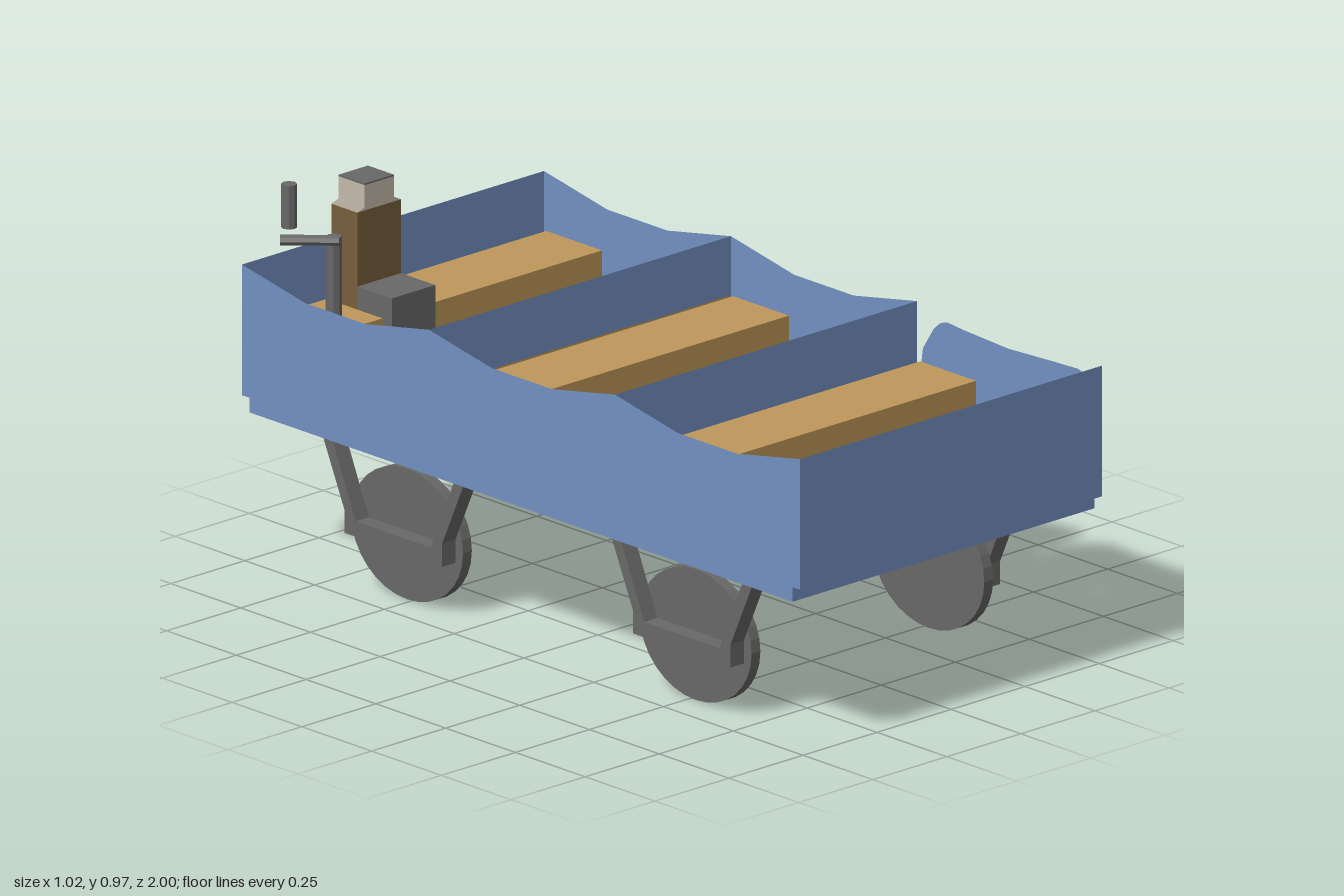
import * as THREE from 'three';

export function createModel() {
  const mat = (name, color, extra = {}) => {
    const m = new THREE.MeshStandardMaterial({ color, ...extra });
    m.name = name;
    return m;
  };
  const blue = mat('blue paint', 0x7390c2, { side: THREE.DoubleSide });
  const wood = mat('bench wood', 0xbf975a);
  const grey = mat('dark metal', 0x686868, { flatShading: true });
  const brown = mat('brown cloth', 0x785e3c);
  const beige = mat('beige', 0xc4baab);

  const root = new THREE.Group();
  root.name = 'carriage';
  const add = (name, geo, material, x = 0, y = 0, z = 0) => {
    const m = new THREE.Mesh(geo, material);
    m.name = name;
    m.position.set(x, y, z);
    root.add(m);
    return m;
  };
  // box given by its limits on each axis
  const box = (name, material, [x0, x1], [y0, y1], [z0, z1]) =>
    add(name, new THREE.BoxGeometry(x1 - x0, y1 - y0, z1 - z0), material,
      (x0 + x1) / 2, (y0 + y1) / 2, (z0 + z1) / 2);
  // outline of [z, y] points, standing in the side plane
  const sideShape = (pts) => new THREE.Shape(pts.map(([z, y]) => new THREE.Vector2(-z, y)));
  const sidePanel = (name, pts, x) =>
    add(name, new THREE.ShapeGeometry(sideShape(pts)).rotateY(Math.PI / 2), blue, x);

  // floor and cross walls
  const W = 0.51, FLOOR = 0.433, TOP = 0.773, DIP = 0.73;
  box('floor', blue, [-W, W], [0.395, FLOOR], [-0.973, 0.973]);
  const walls = { backWall: -1, rearDivider: -0.33, frontDivider: 0.337, frontWall: 1 };
  for (const [name, z] of Object.entries(walls))
    add(name, new THREE.PlaneGeometry(2 * W, TOP - FLOOR), blue, 0, (TOP + FLOOR) / 2, z);

  // side walls with a dip in every compartment
  const wavy = (edges) => {
    const pts = [[edges[0], FLOOR], [edges[0], TOP]];
    for (let i = 1; i < edges.length; i++) {
      const a = edges[i - 1], b = edges[i], d = (b - a) * 0.34;
      pts.push([a + d, DIP], [b - d, DIP], [b, TOP]);
    }
    pts.push([edges[edges.length - 1], FLOOR]);
    return pts;
  };
  sidePanel('leftWall', wavy([-1, -0.33, 0.337]), W);
  sidePanel('rightWall', wavy([-1, -0.33, 0.337, 1]), -W);

  // rounded door at the front left
  sidePanel('door', [
    [0.87, 0.435], [0.935, 0.457], [0.965, 0.53], [0.984, 0.61], [0.984, 0.667],
    [0.963, 0.715], [0.94, 0.735], [0.914, 0.743], [0.834, 0.74], [0.663, 0.732],
    [0.503, 0.74], [0.445, 0.745], [0.42, 0.737], [0.396, 0.715], [0.358, 0.656],
    [0.348, 0.587], [0.358, 0.533], [0.385, 0.46], [0.455, 0.435],
  ], W);

  // benches, two to a compartment
  for (const z of [-0.99, -0.53, -0.32, 0.09, 0.35, 0.76])
    box('bench', wood, [-0.508, 0.508], [FLOOR, 0.62], [z, z + 0.2]);

  // wheels and their U-shaped hangers
  const hanger = new THREE.ExtrudeGeometry(sideShape([
    [0.265, 0.4], [0.175, 0.2], [0.175, 0.14], [-0.175, 0.14], [-0.175, 0.2], [-0.265, 0.4],
    [-0.23, 0.4], [-0.135, 0.18], [0.135, 0.18], [0.23, 0.4],
  ]), { depth: 0.045, bevelEnabled: false }).rotateY(Math.PI / 2);
  const wheel = new THREE.CylinderGeometry(1, 1, 0.03, 32).rotateZ(Math.PI / 2).scale(1, 0.17, 0.2);
  for (const s of [-1, 1])
    for (const z of [-0.516, 0.518]) {
      add('wheel', wheel, grey, s * 0.393, 0.17, z);
      add('wheelHanger', hanger, grey, s > 0 ? 0.41 : -0.455, 0, z);
    }

  // brake column with crank and handle
  const rod = (name, r, y0, y1, x, z) =>
    add(name, new THREE.CylinderGeometry(r, r, y1 - y0, 8), grey, x, (y0 + y1) / 2, z);
  rod('brakeColumn', 0.02, 0.3, 0.836, -0.324, -0.868);
  rod('brakeHandle', 0.02, 0.855, 0.968, -0.395, -0.953);
  const crank = new THREE.CylinderGeometry(0.0185, 0.0185, 0.146, 8)
    .rotateZ(Math.PI / 2).scale(1, 0.72, 1).rotateY(-Math.PI / 4);
  add('brakeCrank', crank, grey, -0.398, 0.841, -0.876);

  // simple block figure seated at the brake
  const body = [-0.233, -0.086], head = [-0.209, -0.11], depth = [-0.973, -0.88];
  box('legs', grey, body, [FLOOR, 0.68], [-0.88, -0.757]);
  box('torso', brown, body, [0.62, 0.872], depth);
  const collar = box('shoulders', beige, body, [0.872, 0.88], depth).geometry.attributes.position;
  for (let i = 0; i < collar.count; i++)
    if (collar.getY(i) > 0) collar.setX(i, collar.getX(i) * 0.68);
  box('head', beige, head, [0.88, 0.938], depth);
  box('hair', grey, head, [0.938, 0.942], depth);

  return root;
}
